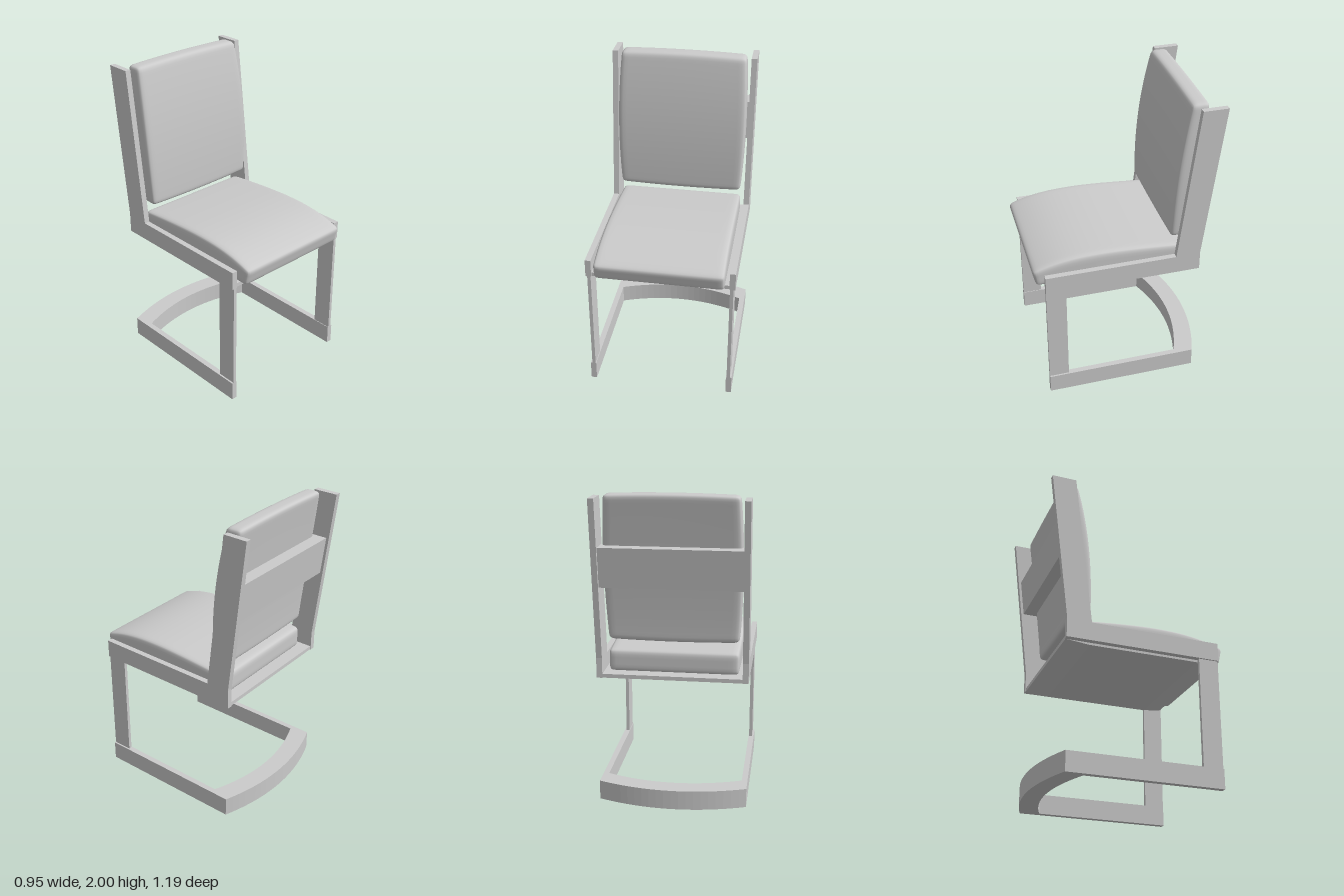
import * as THREE from 'three';
import { mergeVertices } from 'three/addons/utils/BufferGeometryUtils.js';

const material = new THREE.MeshStandardMaterial({ color: 0xcccccc });

function addMesh(parent, name, geometry) {
  const mesh = new THREE.Mesh(geometry, material);
  mesh.name = name;
  parent.add(mesh);
  return mesh;
}

// Extrudes a side outline of [z, y] points across x, from x0 to x1
function sidePlate(points, x0, x1) {
  const shape = new THREE.Shape(points.map(([z, y]) => new THREE.Vector2(z, y)));
  const g = new THREE.ExtrudeGeometry(shape, { depth: x1 - x0, bevelEnabled: false });
  return g.rotateY(-Math.PI / 2).translate(x1, 0, 0);
}

// Rounded box centred on the origin, then bent by a rule: bend(p, u, v, w),
// where u, v, w are the -1..1 positions inside the box
function cushion(hx, hy, hz, r, segs, bend) {
  let g = new THREE.BoxGeometry(2, 2, 2, ...segs);
  g.deleteAttribute('uv');
  g.deleteAttribute('normal');
  g = mergeVertices(g);
  const pos = g.attributes.position;
  const half = new THREE.Vector3(hx, hy, hz);
  const inner = half.clone().subScalar(r);
  const p = new THREE.Vector3(), core = new THREE.Vector3();
  for (let i = 0; i < pos.count; i++) {
    p.fromBufferAttribute(pos, i);
    // crowd the grid toward the edges so the rounding is smooth
    p.set(...p.toArray().map((t) => Math.sin(t * Math.PI / 2))).multiply(half);
    core.copy(p).clamp(inner.clone().negate(), inner);
    p.sub(core).setLength(r).add(core);
    bend(p, p.x / hx, p.y / hy, p.z / hz);
    pos.setXYZ(i, p.x, p.y, p.z);
  }
  g.computeVertexNormals();
  return g;
}

export function createModel() {
  const chair = new THREE.Group();
  chair.name = 'chair';

  // Side frames: seat rail and leaning back post in one piece, plus front leg
  for (const side of [-1, 1]) {
    const frame = new THREE.Group();
    frame.name = side > 0 ? 'leftFrame' : 'rightFrame';
    const outline = [[0.53, 0.84], [0.53, 0.96], [-0.32, 0.96], [-0.44, 1.98],
      [-0.6, 1.98], [-0.48, 0.97], [-0.48, 0.84]];
    const [x0, x1] = side > 0 ? [0.44, 0.477] : [-0.477, -0.44];
    addMesh(frame, 'railAndBackPost', sidePlate(outline, x0, x1));
    const leg = addMesh(frame, 'frontLeg', new THREE.BoxGeometry(0.022, 0.73, 0.13));
    leg.position.set(side * 0.455, 0.48, 0.465);
    chair.add(frame);
  }

  // Floor base: two runners joined by a curved rear bar
  const plan = new THREE.Shape();
  plan.moveTo(0.477, -0.53);
  plan.lineTo(0.477, 0.47);
  plan.quadraticCurveTo(0, 0.65, -0.477, 0.47);
  plan.lineTo(-0.477, -0.53);
  plan.lineTo(-0.44, -0.53);
  plan.lineTo(-0.44, 0.35);
  plan.quadraticCurveTo(0, 0.53, 0.44, 0.35);
  plan.lineTo(0.44, -0.53);
  plan.closePath();
  const base = new THREE.ExtrudeGeometry(plan, { depth: 0.127, bevelEnabled: false, curveSegments: 20 });
  addMesh(chair, 'floorBase', base.rotateX(-Math.PI / 2));

  // Seat board between the rails, its underside rising at the rear
  addMesh(chair, 'seatBoard', sidePlate([[0.52, 0.84], [0.52, 0.865], [-0.475, 0.865],
    [-0.475, 0.84], [-0.32, 0.825], [0.4, 0.825]], -0.44, 0.44));

  // Crossbar behind the backrest, leaning with the posts
  addMesh(chair, 'backCrossbar', sidePlate([[-0.4, 1.43], [-0.43, 1.68],
    [-0.547, 1.68], [-0.517, 1.43]], -0.44, 0.44));

  // Seat cushion: domed along its depth, dropping to the front
  addMesh(chair, 'seatCushion', cushion(0.412, 0.075, 0.5, 0.03, [20, 10, 32], (p, u, v, w) => {
    p.z += 0.1;
    p.x *= 1 + 0.008 * (1 - w * w);
    const d = (p.z - 0.13) / 0.45;
    const top = 1.04 - (d > 0 ? 0.065 * d ** 2.65 : 0.03 * (-d) ** 1.5);
    p.y = THREE.MathUtils.lerp(0.86, top, (v + 1) / 2);
    p.z -= 0.025 * Math.max(0, w) ** 8 * (1 - v) / 2;
  }));

  // Back cushion: curved backward toward the top, with bulging edges
  addMesh(chair, 'backCushion', cushion(0.41, 0.46, 0.05, 0.028, [24, 32, 10], (p, u, v, w) => {
    const t = (v + 1) / 2;
    const front = -0.3 - 0.1 * t ** 2.2;
    const back = -0.4 - 0.11 * t ** 1.3;
    p.z = THREE.MathUtils.lerp(back, front, (w + 1) / 2);
    p.x *= 1 + 0.045 * (1 - v * v);
    p.y = 1.532 + p.y * (1 + 0.018 * (1 - u * u));
  }));

  return chair;
}
